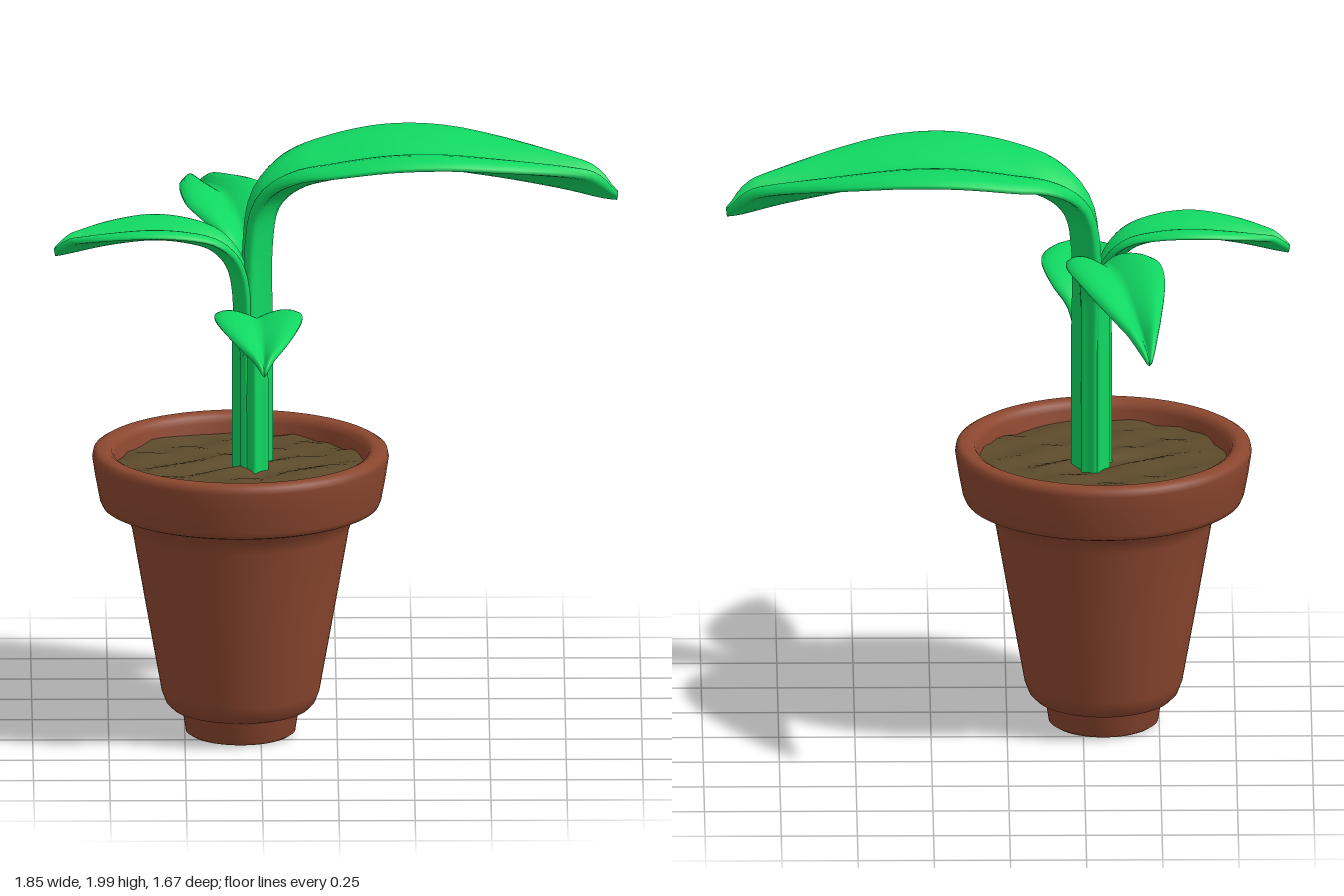
import * as THREE from 'three';

const leafMat = new THREE.MeshStandardMaterial({ color: 0x10d862, side: THREE.DoubleSide });
const potMat = new THREE.MeshStandardMaterial({ color: 0x8c472f, side: THREE.DoubleSide });
const soilMat = new THREE.MeshStandardMaterial({ color: 0x5c4a2a });

// Outline of a folded blade: s runs across (-1..1), n is 0 below and 1 above
const ACROSS = 16;
const outline = [];
for (let i = 0; i <= ACROSS; i++) outline.push([-1 + (2 * i) / ACROSS, 0]);
for (let i = ACROSS; i >= 0; i--) outline.push([-1 + (2 * i) / ACROSS, 1]);

// Stem and leaf in one sweep; rows are [reach, height, half width] along the underside
function makeLeaf(name, base, tip, rows, fold, thick) {
  const curve = new THREE.CatmullRomCurve3(rows.map(r => new THREE.Vector3(...r)), false, 'centripetal');
  const steps = 72, ring = outline.length;
  const pos = [], index = [];
  for (let j = 0; j <= steps; j++) {
    const t = j / steps;
    const p = curve.getPointAt(t), d = curve.getTangentAt(t);
    const l = Math.hypot(d.x, d.y);
    const nx = -d.y / l, ny = d.x / l;
    const f = Math.min(fold, p.z * 0.8);
    const th = Math.min(thick, 0.012 + p.z * 0.7);
    for (const [s, n] of outline) {
      const a = Math.abs(s);
      // wings rise from the midrib and curl over; the rim is rounded
      const h = f * Math.sin(a * 1.9) + th * (0.5 + (n - 0.5) * Math.sqrt(1 - 0.92 * a ** 4));
      pos.push(p.x + nx * h, p.y + ny * h, s * p.z);
    }
  }
  for (let j = 0; j < steps; j++) {
    for (let i = 0; i < ring; i++) {
      const a = j * ring + i, b = j * ring + (i + 1) % ring;
      index.push(a, a + ring, b, b, a + ring, b + ring);
    }
  }
  // end caps join the upper and lower outlines
  for (const [o, flip] of [[0, false], [steps * ring, true]]) {
    for (let i = 0; i < ACROSS; i++) {
      const a = o + i, b = a + 1, c = o + ring - 1 - i, d = c - 1;
      if (flip) index.push(a, c, b, b, c, d);
      else index.push(a, b, c, b, d, c);
    }
  }
  const geo = new THREE.BufferGeometry();
  geo.setAttribute('position', new THREE.Float32BufferAttribute(pos, 3));
  geo.setIndex(index);
  geo.computeVertexNormals();
  const mesh = new THREE.Mesh(geo, leafMat);
  mesh.name = name;
  mesh.position.set(base[0], 0, base[1]);
  mesh.rotation.y = Math.atan2(base[1] - tip[1], tip[0] - base[0]);
  return mesh;
}

function makePot() {
  const profile = [
    [0, 0], [0.165, 0], [0.18, 0.01], [0.19, 0.075], [0.2, 0.082], [0.225, 0.09], [0.245, 0.11],
    [0.26, 0.15], [0.31, 0.43], [0.357, 0.7], [0.37, 0.74], [0.395, 0.768], [0.42, 0.776],
    [0.44, 0.776], [0.455, 0.782], [0.463, 0.8], [0.478, 0.88], [0.487, 0.94], [0.483, 0.96],
    [0.468, 0.969], [0.44, 0.969], [0.423, 0.96], [0.415, 0.94], [0.405, 0.88], [0.39, 0.8],
  ].map(([r, y]) => new THREE.Vector2(r, y));
  const pot = new THREE.Mesh(new THREE.LatheGeometry(profile, 64), potMat);
  pot.name = 'pot';
  return pot;
}

// Slightly lumpy soil
function makeSoil() {
  const geo = new THREE.RingGeometry(0.001, 0.412, 56, 14);
  geo.rotateX(-Math.PI / 2);
  const p = geo.attributes.position;
  for (let i = 0; i < p.count; i++) {
    const x = p.getX(i), z = p.getZ(i);
    p.setY(i, 0.006 * Math.sin(x * 27 + 3 * Math.sin(z * 15)) + 0.005 * Math.sin(z * 38 + x * 21));
  }
  geo.computeVertexNormals();
  const soil = new THREE.Mesh(geo, soilMat);
  soil.name = 'soil';
  soil.position.y = 0.905;
  return soil;
}

export function createModel() {
  const model = new THREE.Group();
  model.name = 'pottedPlant';

  const planter = new THREE.Group();
  planter.name = 'planter';
  planter.add(makePot(), makeSoil());
  planter.position.set(-0.317, 0, 0.155);

  const plant = new THREE.Group();
  plant.name = 'plant';
  plant.add(
    makeLeaf('largeLeaf', [-0.21, 0.107], [0.925, 0.065], [
      [0, 0.88, 0.082], [0, 1.3, 0.082], [0, 1.66, 0.085], [0.02, 1.77, 0.1], [0.09, 1.835, 0.18],
      [0.2, 1.865, 0.245], [0.38, 1.893, 0.28], [0.55, 1.893, 0.265], [0.72, 1.87, 0.21],
      [0.95, 1.825, 0.1], [1.09, 1.79, 0.035], [1.13, 1.785, 0.012],
    ], 0.055, 0.045),
    makeLeaf('backLeaf', [-0.3, 0.025], [-0.46, -0.835], [
      [0, 0.88, 0.048], [0, 1.3, 0.048], [0, 1.5, 0.05], [0.025, 1.58, 0.065], [0.1, 1.625, 0.11],
      [0.22, 1.65, 0.15], [0.4, 1.655, 0.142], [0.65, 1.615, 0.082], [0.83, 1.575, 0.026], [0.87, 1.567, 0.01],
    ], 0.04, 0.032),
    makeLeaf('rightLeaf', [-0.345, 0.155], [-0.93, 0.16], [
      [0, 0.88, 0.048], [0, 1.3, 0.048], [0, 1.5, 0.05], [0.02, 1.585, 0.06], [0.07, 1.64, 0.095],
      [0.15, 1.665, 0.125], [0.26, 1.675, 0.14], [0.4, 1.66, 0.105], [0.54, 1.63, 0.03], [0.58, 1.622, 0.01],
    ], 0.033, 0.028),
    makeLeaf('frontLeaf', [-0.27, 0.228], [-0.243, 0.835], [
      [0, 0.88, 0.046], [0, 1.15, 0.046], [0, 1.3, 0.048], [0.02, 1.375, 0.065], [0.08, 1.42, 0.11],
      [0.15, 1.443, 0.135], [0.25, 1.452, 0.143], [0.4, 1.437, 0.105], [0.56, 1.4, 0.032], [0.6, 1.392, 0.01],
    ], 0.03, 0.026),
  );

  model.add(planter, plant);
  return model;
}
